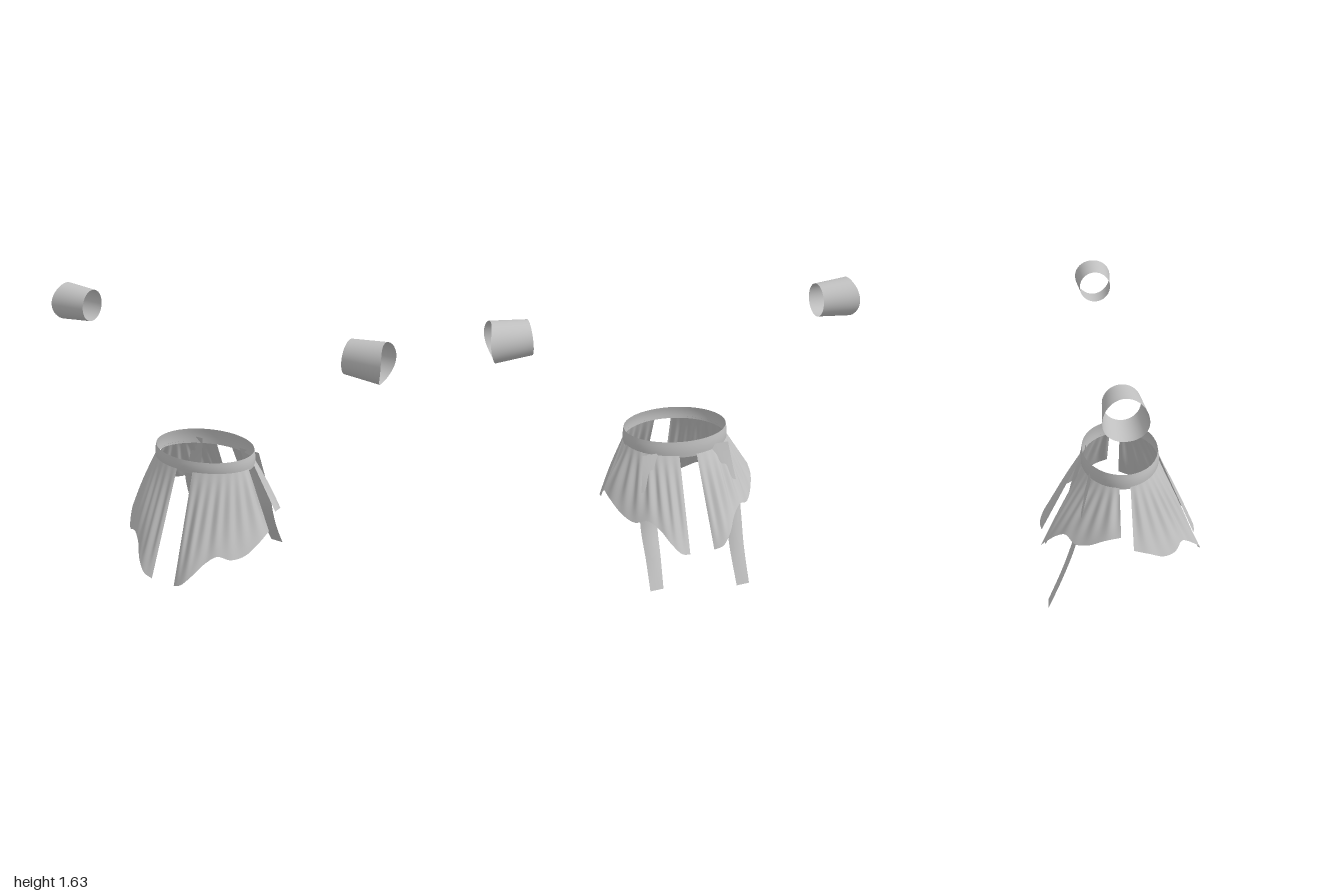
import * as THREE from 'three';
import { mergeVertices } from 'three/addons/utils/BufferGeometryUtils.js';

const cloth = new THREE.MeshStandardMaterial({ color: 0xc0c0c0, side: THREE.DoubleSide });
cloth.name = 'grey cloth';

// Bends a grid into a sheet: point(u, t) gives the position, t runs from top to bottom.
function sheet(name, nu, nt, point) {
  const geo = new THREE.PlaneGeometry(1, 1, nu, nt);
  const pos = geo.attributes.position, uv = geo.attributes.uv;
  for (let i = 0; i < pos.count; i++) {
    const p = point(uv.getX(i), 1 - uv.getY(i));
    pos.setXYZ(i, p.x, p.y, p.z);
  }
  geo.deleteAttribute('uv');
  geo.deleteAttribute('normal');
  const welded = mergeVertices(geo, 1e-5);
  welded.computeVertexNormals();
  const mesh = new THREE.Mesh(welded, cloth);
  mesh.name = name;
  return mesh;
}

const V = (x, y, z) => new THREE.Vector3(x, y, z);
const curve = (pts) => new THREE.CatmullRomCurve3(pts.map((p) => V(...p)));
const waistY = (x, z) => 0.782 + 0.05 * x + 0.05 * z;

// Waistband: slightly tilted, slightly flared oval band
function waistband() {
  return sheet('waistband', 64, 4, (u, t) => {
    const a = u * Math.PI * 2;
    const x = Math.sin(a), z = Math.cos(a);
    const r = 0.005 * t + 0.004 * Math.sin(Math.PI * t);
    const top = 0.862 + 0.0125 * x;
    const y = THREE.MathUtils.lerp(top, waistY(x * 0.3, z * 0.22) - 0.004, t);
    return V(x * (0.293 + r), y, z * (0.212 + r));
  });
}

// Hem lines from the centre gap to the side gap
const frontHem = curve([
  [0.072, 0.21, 0.455], [0.12, 0.235, 0.46], [0.17, 0.29, 0.43], [0.22, 0.355, 0.365],
  [0.27, 0.39, 0.322], [0.33, 0.365, 0.28], [0.38, 0.37, 0.21], [0.42, 0.42, 0.12], [0.435, 0.455, 0.035],
]);
const backHem = curve([
  [0.07, 0.295, -0.455], [0.12, 0.315, -0.463], [0.17, 0.37, -0.435], [0.22, 0.44, -0.37],
  [0.27, 0.474, -0.325], [0.33, 0.45, -0.28], [0.38, 0.47, -0.21], [0.42, 0.52, -0.12], [0.435, 0.545, -0.035],
]);

// Pleated skirt panel lofted from the waist oval to its hem
function skirtPanel(name, side, facing, hem) {
  return sheet(name, 56, 14, (u0, t) => {
    const u = side * facing > 0 ? u0 : 1 - u0;
    const a = THREE.MathUtils.lerp(0.167, 1.434, u);
    const p = V(0.298 * Math.sin(a), 0, facing * 0.218 * Math.cos(a));
    p.y = waistY(p.x * side, p.z) + 0.008;
    p.lerp(hem.getPoint(u), t);
    const pleat = 0.007 * Math.sin(u * Math.PI * 14) * Math.sin(Math.PI * t);
    p.x += pleat * Math.sin(a);
    p.z += pleat * Math.cos(a) * facing;
    p.x *= side;
    return p;
  });
}

// Ribbon tail hanging at the back, ending at the given height
function ribbon(name, side, endY) {
  const path = curve([
    [0.185, 0.80, -0.18], [0.21, 0.65, -0.225], [0.24, 0.5, -0.262], [0.249, 0.39, -0.29],
    [0.25, 0.2 + endY * 0.5, -0.355], [0.258, endY, -0.436],
  ]);
  return sheet(name, 6, 30, (u0, t) => {
    const u = side > 0 ? 1 - u0 : u0;
    const p = path.getPoint(t);
    const width = THREE.MathUtils.lerp(0.125, 0.076, t);
    const k = u - 0.5;
    p.x = side * (p.x + k * width);
    // shallow crosswise curl, angled around the hip near the top
    p.z += 0.012 * (4 * k * k - 0.3) * Math.sin(Math.PI * t);
    return p;
  });
}

// Open tapered cuff whose outer rim is longer at front and back
function cuff(name, side) {
  return sheet(name, 40, 4, (u, t) => {
    const a = u * Math.PI * 2 * side;
    const outer = 0.975 + 0.025 * Math.sin(a) ** 2;
    const x = THREE.MathUtils.lerp(0.79, outer, t);
    const r = THREE.MathUtils.lerp(0.09, 0.106, t);
    return V(side * x, 1.523 + r * Math.cos(a), -0.07 + r * Math.sin(a));
  });
}

export function createModel() {
  const model = new THREE.Group();
  model.name = 'skirtAndCuffs';
  model.add(waistband());
  for (const [label, side] of [['left', 1], ['right', -1]]) {
    model.add(
      skirtPanel(label + 'FrontSkirtPanel', side, 1, frontHem),
      skirtPanel(label + 'BackSkirtPanel', side, -1, backHem),
      ribbon(label + 'Ribbon', side, side > 0 ? 0.088 : 0),
      cuff(label + 'Cuff', side),
    );
  }
  return model;
}
